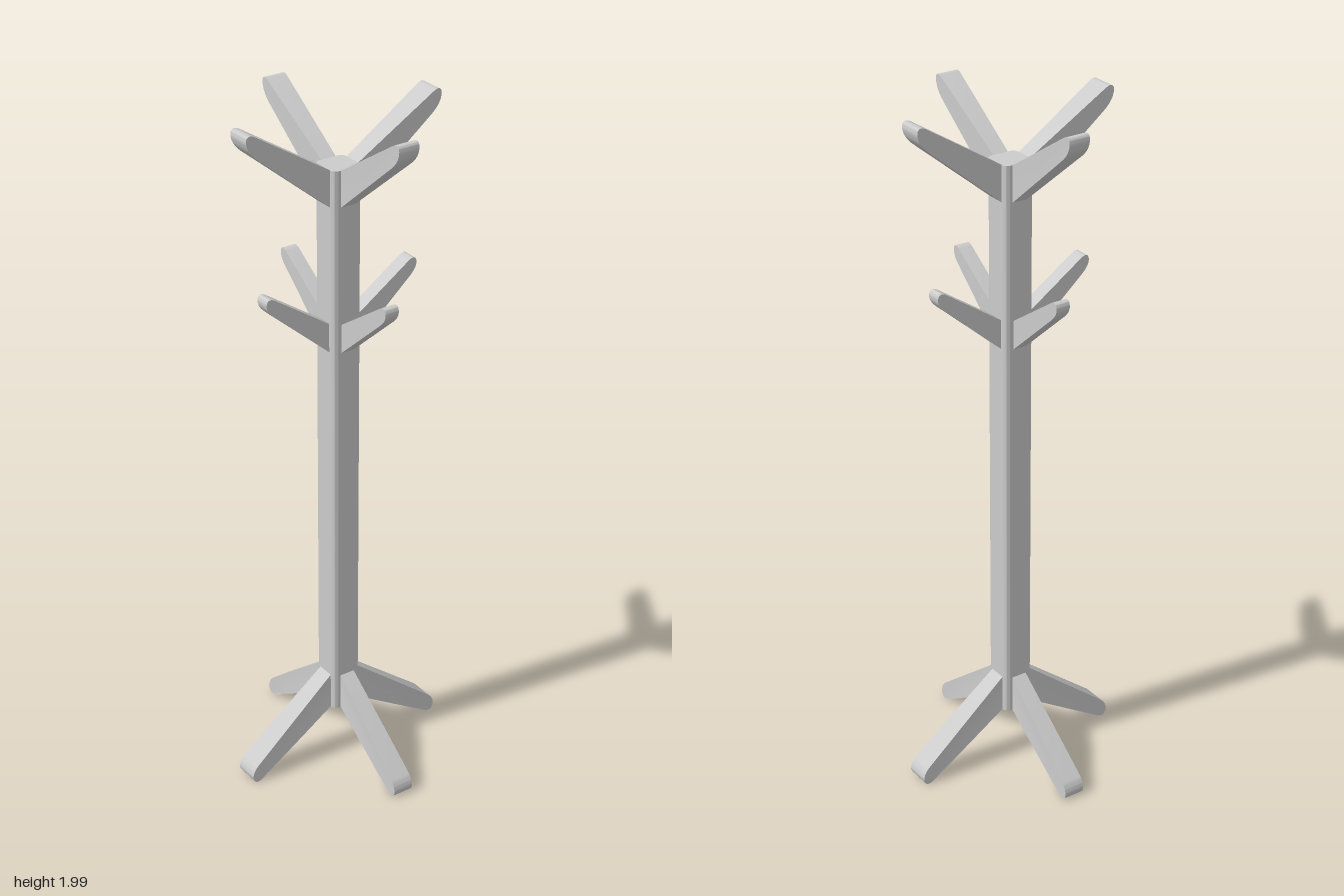
import * as THREE from 'three';
import { toCreasedNormals } from 'three/addons/utils/BufferGeometryUtils.js';

const material = new THREE.MeshStandardMaterial({ color: 0xcccccc });
const POST = 0.045; // half width of the post

// Upright with rounded vertical corners
function makePost(y0, y1) {
  const r = 0.015, c = POST - r;
  const shape = new THREE.Shape();
  for (let i = 0; i < 4; i++) {
    const a = i * Math.PI / 2;
    const sx = i === 0 || i === 3 ? 1 : -1, sy = i < 2 ? 1 : -1;
    shape.absarc(sx * c, sy * c, r, a, a + Math.PI / 2, false);
  }
  const geo = new THREE.ExtrudeGeometry(shape, { depth: y1 - y0, bevelEnabled: false, curveSegments: 6 });
  geo.rotateX(-Math.PI / 2).translate(0, y0, 0);
  const mesh = new THREE.Mesh(toCreasedNormals(geo, 0.6), material);
  mesh.name = 'post';
  return mesh;
}

// Branch pointing along +x: side profile with a rounded tip, widening from root to tip.
// p lists [radius, height]: root low, low edge end, tip corner, upper edge end, root high.
function branchGeometry(p, rootHalf, tipHalf) {
  const shape = new THREE.Shape();
  const [rootLow, lowEnd, outer, outerEnd, crown, highEnd, rootHigh] = p;
  shape.moveTo(...rootLow);
  shape.lineTo(...lowEnd);
  shape.quadraticCurveTo(...outer, ...outerEnd);
  shape.quadraticCurveTo(...crown, ...highEnd);
  shape.lineTo(...rootHigh);
  shape.closePath();
  const geo = new THREE.ExtrudeGeometry(shape, { depth: 2, bevelEnabled: false, curveSegments: 8 });
  geo.translate(0, 0, -1);
  const pos = geo.attributes.position;
  for (let i = 0; i < pos.count; i++) {
    const t = Math.min(1, (pos.getX(i) - POST) / (0.285 - POST));
    pos.setZ(i, pos.getZ(i) * (rootHalf + (tipHalf - rootHalf) * t));
  }
  return toCreasedNormals(geo, 0.6);
}

// Four branches around the post; the x pair is a little wider than the z pair
function makeTier(name, profile, xHalf, zHalf) {
  const tier = new THREE.Group();
  tier.name = name + 's';
  for (let i = 0; i < 4; i++) {
    const mesh = new THREE.Mesh(branchGeometry(profile, ...(i % 2 ? zHalf : xHalf)), material);
    mesh.rotation.y = i * Math.PI / 2;
    mesh.name = name;
    tier.add(mesh);
  }
  return tier;
}

export function createModel() {
  const model = new THREE.Group();
  model.name = 'coatStand';
  model.add(makePost(0.156, 1.844));

  // Upper hooks
  model.add(makeTier('upperHook', [
    [0.042, 1.738], [0.272, 1.928], [0.305, 1.955], [0.305, 1.983], [0.303, 2.004], [0.28, 1.992], [0.042, 1.842],
  ], [0.026, 0.036], [0.023, 0.031]));

  // Smaller hooks below, of constant width
  model.add(makeTier('lowerHook', [
    [0.042, 1.315], [0.216, 1.467], [0.243, 1.489], [0.243, 1.509], [0.241, 1.532], [0.218, 1.519], [0.042, 1.4],
  ], [0.022, 0.022], [0.021, 0.021]));

  // Feet, sloping down to the floor
  model.add(makeTier('foot', [
    [0.042, 0.158], [0.288, 0.01], [0.318, -0.008], [0.325, 0.02], [0.325, 0.043], [0.305, 0.06], [0.042, 0.27],
  ], [0.026, 0.036], [0.023, 0.031]));

  return model;
}
